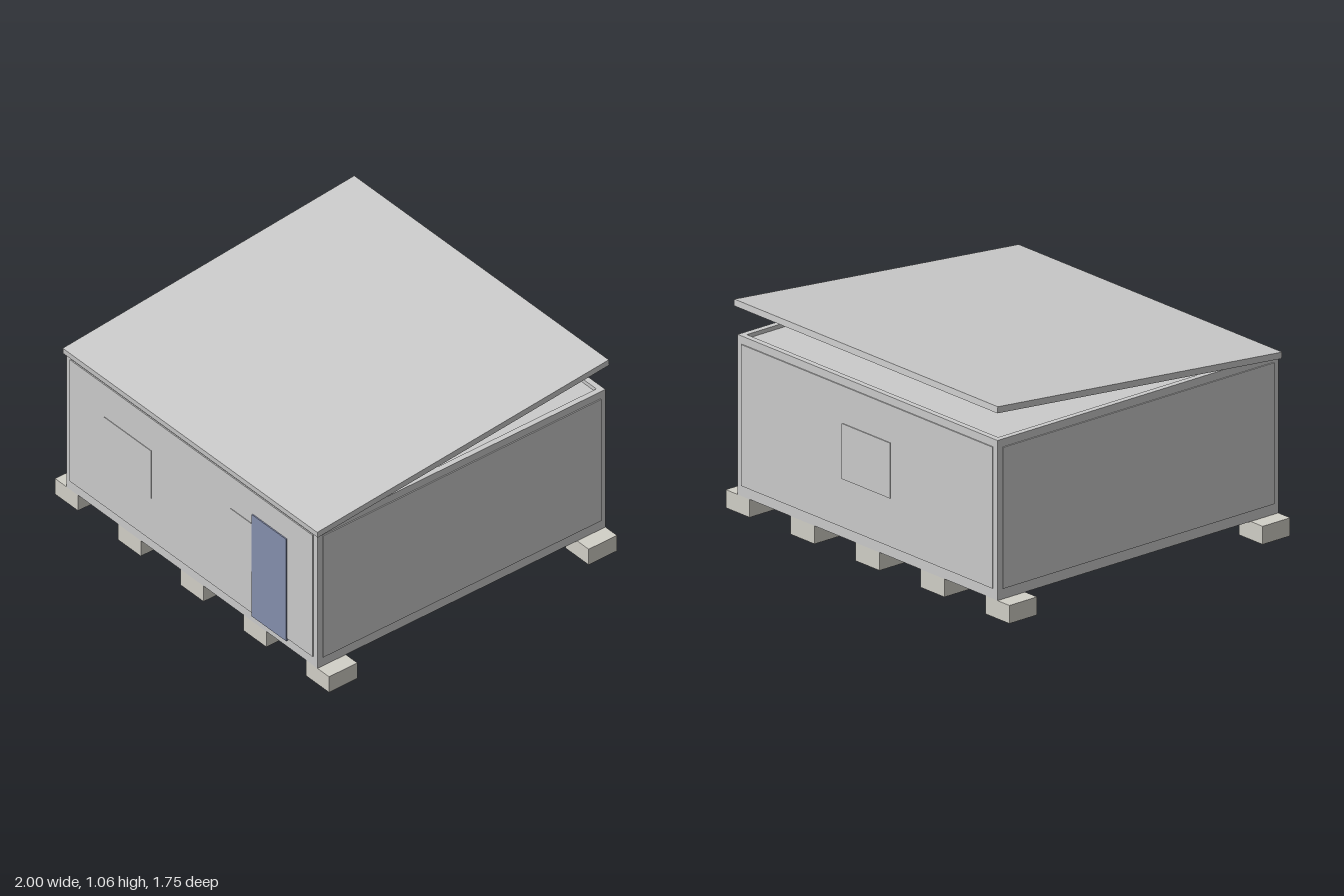
import * as THREE from 'three';

const grey = new THREE.MeshStandardMaterial({ color: 0xcccccc });
const concrete = new THREE.MeshStandardMaterial({ color: 0xd2d0c8 });
const timber = new THREE.MeshStandardMaterial({ color: 0xd8cfb8 });
const blue = new THREE.MeshStandardMaterial({ color: 0x858fad });

// Box given by its lower and upper limits on each axis
function box(parent, name, [x0, x1], [y0, y1], [z0, z1], material = grey) {
  const mesh = new THREE.Mesh(new THREE.BoxGeometry(x1 - x0, y1 - y0, z1 - z0), material);
  mesh.position.set((x0 + x1) / 2, (y0 + y1) / 2, (z0 + z1) / 2);
  mesh.name = name;
  parent.add(mesh);
  return mesh;
}

// Range on the positive or negative side of an axis
const sided = (s, a, b) => (s > 0 ? [a, b] : [-b, -a]);

export function createModel() {
  const model = new THREE.Group();
  model.name = 'cabin';
  const W = 0.915, D = 0.865, bottom = 0.09, top = 0.885, t = 0.03;

  // Two rows of foundation blocks
  const blocks = new THREE.Group();
  blocks.name = 'foundationBlocks';
  for (const s of [-1, 1]) {
    for (let i = -2; i <= 2; i++) {
      const x = i * 0.4575;
      box(blocks, 'foundationBlock', [x - 0.084, x + 0.084], [0, bottom], sided(s, 0.695, 0.865), concrete);
    }
  }
  model.add(blocks);

  // Frame of posts, sills and top rails
  const frame = new THREE.Group();
  frame.name = 'frame';
  for (const s of [-1, 1]) {
    for (const r of [-1, 1]) {
      box(frame, 'cornerPost', sided(s, W - t, W), [0.145, 0.845], sided(r, D - t, D));
    }
    for (const [name, y] of [['sill', [bottom, 0.145]], ['topRail', [0.845, top]]]) {
      box(frame, name, [-W, W], y, sided(s, D - t, D));
      box(frame, name, sided(s, W - t, W), y, [-D + t, D - t]);
    }
  }
  model.add(frame);

  // Floor and recessed ceiling
  box(model, 'floor', [-W + 0.004, W - 0.004], [bottom - 0.002, 0.12], [-D + 0.004, D - 0.004], timber);
  box(model, 'ceiling', [-W + t, W - t], [0.845, 0.865], [-D + t, D - t]);

  // Wall panels, standing slightly proud of the frame
  for (const s of [-1, 1]) {
    box(model, s > 0 ? 'frontWall' : 'backWall', [-W + t, W - t], [0.143, 0.845], sided(s, D - t, 0.871));
    box(model, s > 0 ? 'leftWall' : 'rightWall', sided(s, W - t, 0.921), [0.143, 0.845], [-D + t, D - t]);
  }

  // Thin window panes and the door
  for (const x of [-0.46, 0.46]) {
    box(model, 'frontWindow', [x - 0.17, x + 0.17], [0.385, 0.66], [0.86, 0.874]);
  }
  box(model, 'backWindow', [-0.17, 0.17], [0.385, 0.66], [-0.876, -0.86]);
  box(model, 'door', [0.45, 0.7], [0.13, 0.718], [0.86, 0.877], blue);

  // Single-pitch roof, rising to the back
  const roof = box(model, 'roof', [-0.928, 0.928], [0.942, 0.974], [-0.88, 0.88]);
  roof.rotation.x = 0.0965;

  return model;
}
